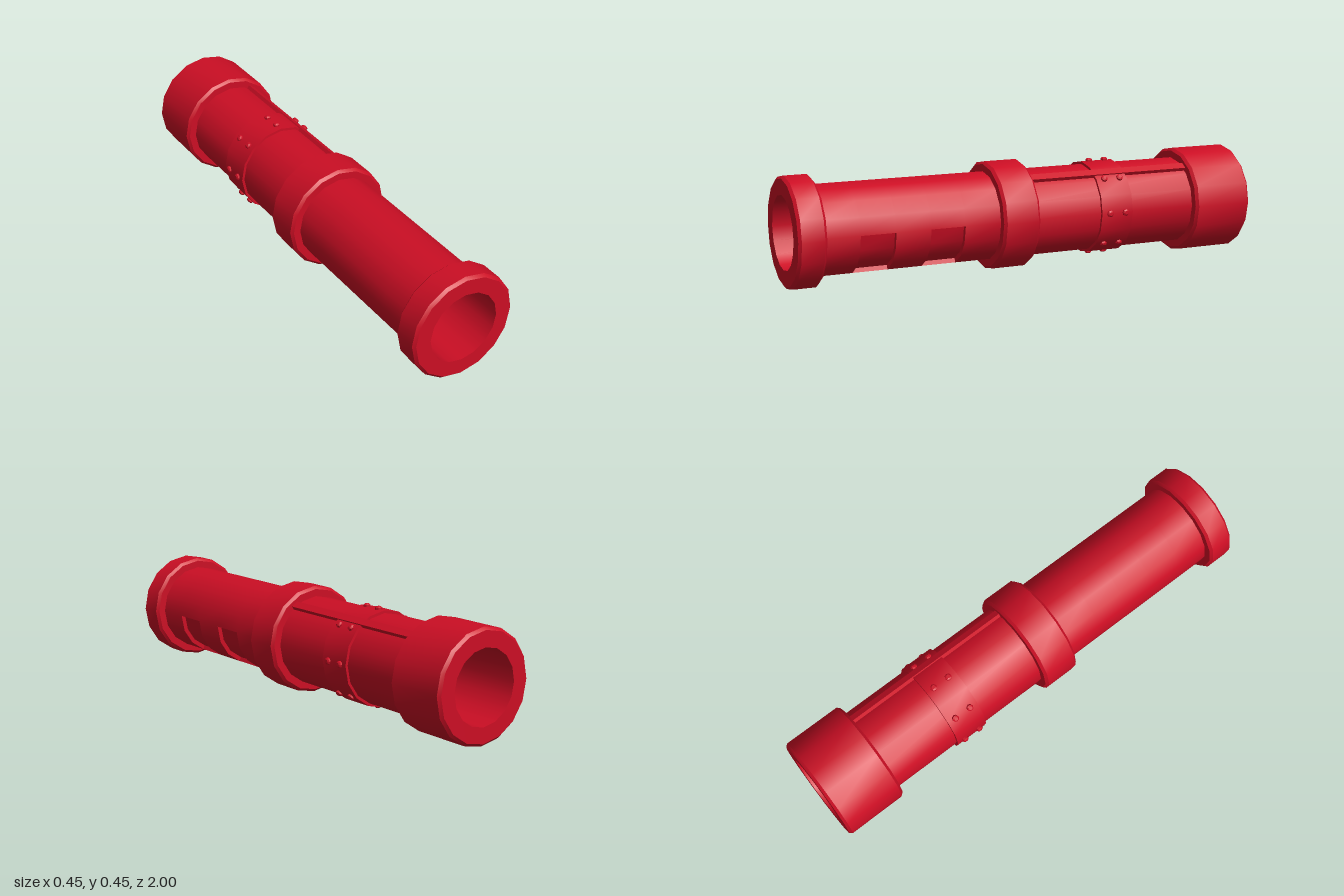
import * as THREE from 'three';
import { mergeGeometries, toCreasedNormals } from 'three/addons/utils/BufferGeometryUtils.js';

const SIDES = 16, STEP = Math.PI * 2 / SIDES;
const CY = 0.224;              // height of the axis
const R_BORE = 0.149, R_TUBE = 0.183, R_FLOOR = 0.165, R_COLLAR = 0.224, R_BAND = 0.194;

export function createModel() {
  const group = new THREE.Group();
  const axis = new THREE.Group();
  axis.name = 'tube';
  axis.position.y = CY;
  group.add(axis);

  const red = new THREE.MeshStandardMaterial({ color: 0xcc0e24, side: THREE.DoubleSide });

  const add = (name, geometry, parent = axis) => {
    const mesh = new THREE.Mesh(geometry, red);
    mesh.name = name;
    parent.add(mesh);
    return mesh;
  };

  // Revolve [radius, z] points about z; side 0 starts at the bottom and runs towards +x
  const revolve = (points, first = 0, count = SIDES) =>
    new THREE.LatheGeometry(points.map(p => new THREE.Vector2(...p)), count, first * STEP, count * STEP)
      .rotateX(Math.PI / 2);
  const crease = (...parts) => toCreasedNormals(mergeGeometries(parts), 0.6);

  // Collar with chamfered outer edges
  const collar = (name, z0, z1) => {
    const c = 0.011;
    add(name, crease(revolve([
      [R_BORE, z0], [R_COLLAR - c, z0], [R_COLLAR, z0 + c],
      [R_COLLAR, z1 - c], [R_COLLAR - c, z1], [R_BORE, z1],
    ])));
  };
  collar('frontCollar', 0.887, 1);
  collar('middleCollar', -0.003, 0.157);
  collar('rearCollar', -1, -0.735);

  // Bore lining and the wall that closes it
  add('bore', crease(revolve([[R_BORE, 1], [R_BORE, -1]])));
  add('boreWall', new THREE.CircleGeometry(R_BORE, SIDES)).position.z = 0.08;

  // Rear tube
  add('rearTube', crease(revolve([[R_TUBE, -0.735], [R_TUBE, 0]])));

  // Front tube with two sunken windows low on the left side
  const W_FIRST = 1, W_COUNT = 3;
  const stops = [0.15, 0.31, 0.455, 0.6, 0.745, 0.89];
  const shell = [], windows = [];
  for (let i = 0; i < stops.length - 1; i++) {
    const z0 = stops[i], z1 = stops[i + 1];
    const skin = [[R_TUBE, z0], [R_TUBE, z1]];
    if (i % 2 === 0) {
      shell.push(revolve(skin));
      continue;
    }
    shell.push(revolve(skin, W_FIRST + W_COUNT, SIDES - W_COUNT));
    windows.push(revolve([[R_TUBE, z0], [R_FLOOR, z0], [R_FLOOR, z1], [R_TUBE, z1]], W_FIRST, W_COUNT));
    // Walls along the upper and lower edges
    for (const [side, flip] of [[W_FIRST, 1], [W_FIRST + W_COUNT, -1]]) {
      windows.push(new THREE.PlaneGeometry(R_TUBE - R_FLOOR, z1 - z0)
        .rotateX(flip * -Math.PI / 2)
        .translate((R_TUBE + R_FLOOR) / 2, 0, (z0 + z1) / 2)
        .rotateZ(side * STEP - Math.PI / 2));
    }
  }
  add('frontTube', crease(...shell));
  add('windowRecesses', crease(...windows));

  // Strap round the rear tube
  const B0 = -0.44, B1 = -0.297;
  add('strap', crease(revolve([[R_TUBE - 0.01, B0], [R_BAND, B0], [R_BAND, B1], [R_TUBE - 0.01, B1]])));

  // Two rows of eight rivets on the strap
  const rivets = new THREE.Group();
  rivets.name = 'rivets';
  axis.add(rivets);
  const rivet = toCreasedNormals(mergeGeometries([
    new THREE.CylinderGeometry(0.014, 0.014, 0.012, 8).translate(0, 0, 0),
    new THREE.CylinderGeometry(0.008, 0.014, 0.005, 8).translate(0, 0.0085, 0),
  ]), 0.6);
  for (const z of [-0.333, -0.405]) {
    for (let i = 0; i < 8; i++) {
      const a = i * Math.PI / 4;
      const m = add('rivet', rivet, rivets);
      m.position.set(Math.sin(a) * R_BAND, Math.cos(a) * R_BAND, z);
      m.rotation.z = -a;
    }
  }

  // Narrow rail along the rear tube, upper left
  const railAngle = 1.5 * STEP;
  const rail = add('rail', new THREE.BoxGeometry(0.032, 0.026, 0.74));
  rail.position.set(Math.sin(railAngle) * 0.183, Math.cos(railAngle) * 0.183, -0.367);
  rail.rotation.z = -railAngle;

  return group;
}
